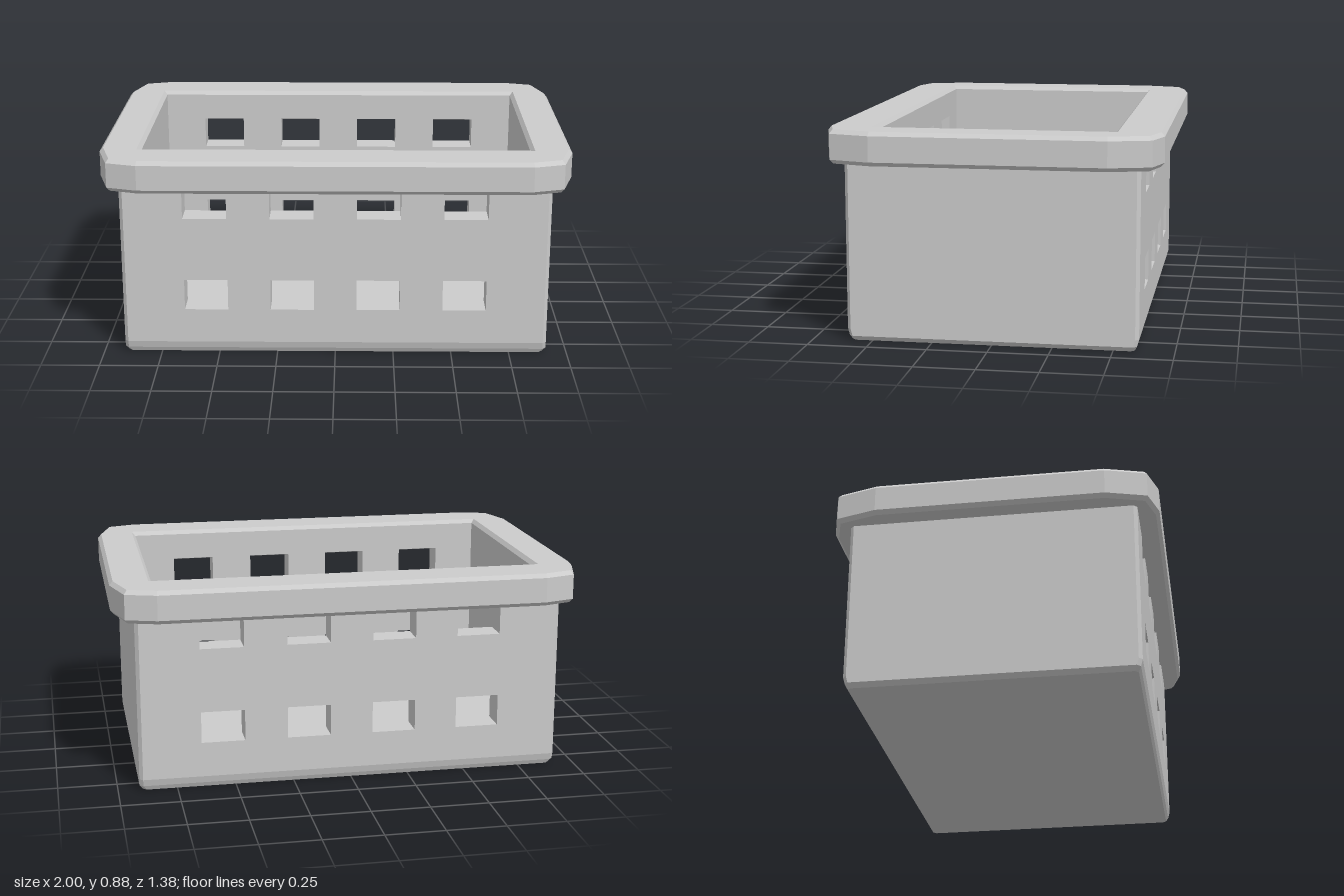
import * as THREE from 'three';

const material = new THREE.MeshStandardMaterial({ color: 0xcccccc, flatShading: true, side: THREE.DoubleSide });
const shapeOf = (pts) => new THREE.Shape(pts.map(([x, y]) => new THREE.Vector2(x, y)));
const rect = (x0, y0, x1, y1) => [[x0, y0], [x1, y0], [x1, y1], [x0, y1]];

// inner opening, outer body, floor and wall heights
const IN_X = 0.825, IN_Z = 0.49, OUT_X = 0.91, OUT_Z = 0.605, CUT = 0.015;
const FLOOR = 0.1, WALL_TOP = 0.762;

// rectangle with cut corners, counter-clockwise
function cutRect(hx, hz, c) {
  return [
    [hx, -hz + c], [hx, hz - c], [hx - c, hz], [-hx + c, hz],
    [-hx, hz - c], [-hx, -hz + c], [-hx + c, -hz], [hx - c, -hz],
  ];
}

// solid through horizontal loops, closed at both ends
function loft(loops) {
  const pos = [];
  const at = (l, i) => {
    const [x, z] = l.pts[i % l.pts.length];
    return [x, l.y, z];
  };
  const n = loops[0].pts.length;
  for (let k = 0; k < loops.length - 1; k++) {
    const a = loops[k], b = loops[k + 1];
    for (let i = 0; i < n; i++) {
      pos.push(...at(a, i), ...at(b, i), ...at(b, i + 1));
      pos.push(...at(a, i), ...at(b, i + 1), ...at(a, i + 1));
    }
  }
  const first = loops[0], last = loops[loops.length - 1];
  for (let i = 1; i < n - 1; i++) {
    pos.push(...at(first, 0), ...at(first, i), ...at(first, i + 1));
    pos.push(...at(last, 0), ...at(last, i + 1), ...at(last, i));
  }
  const g = new THREE.BufferGeometry();
  g.setAttribute('position', new THREE.Float32BufferAttribute(pos, 3));
  g.computeVertexNormals();
  return g;
}

// extrude a plan drawn in x and z upward from y0
function extrudeUp(shape, y0, options) {
  const g = new THREE.ExtrudeGeometry(shape, options);
  g.rotateX(-Math.PI / 2);
  g.translate(0, y0, 0);
  return g;
}

export function createModel() {
  const group = new THREE.Group();
  const add = (name, geometry) => {
    const mesh = new THREE.Mesh(geometry, material);
    mesh.name = name;
    group.add(mesh);
    return mesh;
  };

  // floor slab with softened lower edges
  add('floor', loft([
    { y: 0, pts: cutRect(0.895, 0.587, CUT) },
    { y: 0.02, pts: cutRect(OUT_X, 0.597, CUT) },
    { y: 0.05, pts: cutRect(OUT_X, OUT_Z, CUT) },
    { y: FLOOR, pts: cutRect(OUT_X, OUT_Z, CUT) },
  ]));

  // front and back walls, each with two rows of four windows
  for (const side of [1, -1]) {
    const shape = shapeOf(rect(-IN_X, FLOOR, IN_X, WALL_TOP));
    for (const x of [-0.552, -0.184, 0.184, 0.552]) {
      for (const [y0, y1] of [[0.2, 0.335], [0.61, 0.75]]) {
        shape.holes.push(shapeOf(rect(x - 0.093, y0, x + 0.093, y1)));
      }
    }
    const g = new THREE.ExtrudeGeometry(shape, { depth: OUT_Z - IN_Z, bevelEnabled: false });
    g.translate(0, 0, side > 0 ? IN_Z : -OUT_Z);
    add(side > 0 ? 'frontWall' : 'backWall', g);
  }

  // solid end walls, including the cut vertical corners
  for (const side of [1, -1]) {
    const shape = shapeOf([
      [IN_X, -OUT_Z], [OUT_X - CUT, -OUT_Z], [OUT_X, -OUT_Z + CUT],
      [OUT_X, OUT_Z - CUT], [OUT_X - CUT, OUT_Z], [IN_X, OUT_Z],
    ]);
    const g = extrudeUp(shape, FLOOR, { depth: WALL_TOP - FLOOR, bevelEnabled: false });
    if (side < 0) g.rotateY(Math.PI);
    add(side > 0 ? 'leftWall' : 'rightWall', g);
  }

  // overhanging rim with faceted corners and bevelled edges
  const corner = [[1, 0.48], [0.95, 0.652], [0.82, 0.692]];
  const flip = (pts, sx, sz) => pts.map(([x, z]) => [x * sx, z * sz]);
  const back = [...corner].reverse();
  const rim = shapeOf([
    ...corner, ...flip(back, -1, 1), ...flip(corner, -1, -1), ...flip(back, 1, -1),
  ]);
  rim.holes.push(shapeOf(rect(-IN_X, -IN_Z, IN_X, IN_Z)));
  add('rim', extrudeUp(rim, WALL_TOP, {
    depth: 0.106, bevelEnabled: true, bevelSegments: 1, bevelSize: 0.015, bevelThickness: 0.017, bevelOffset: -0.015,
  }));

  return group;
}
